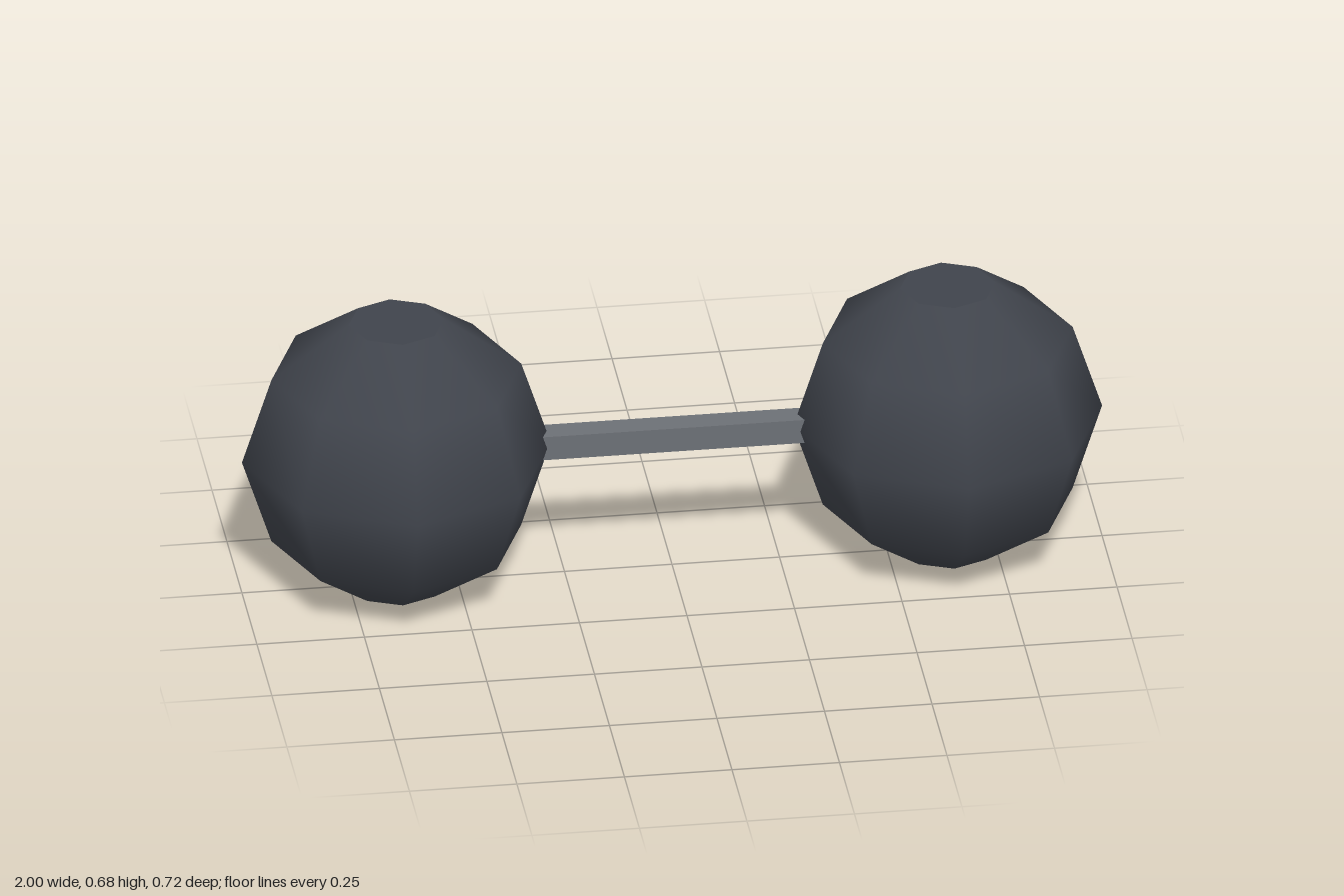
import * as THREE from 'three';

const RADIUS = 0.359;
const CAP_ANGLE = Math.PI / 10; // polar angle where each ball is cut flat
const HALF_HEIGHT = RADIUS * Math.cos(CAP_ANGLE);
const CAP_RADIUS = RADIUS * Math.sin(CAP_ANGLE);

export function createModel() {
  const ballMaterial = new THREE.MeshStandardMaterial({ color: 0x40444c });
  ballMaterial.name = 'dark iron';
  const barMaterial = new THREE.MeshStandardMaterial({ color: 0x6c7076 });
  barMaterial.name = 'grey steel';

  const model = new THREE.Group();
  model.name = 'dumbbell';

  // Smooth eight-sided ball with flat top and bottom
  function createBall(name, x) {
    const ball = new THREE.Group();
    ball.name = name;
    const shell = new THREE.Mesh(
      new THREE.SphereGeometry(RADIUS, 8, 4, 0, Math.PI * 2, CAP_ANGLE, Math.PI - 2 * CAP_ANGLE),
      ballMaterial
    );
    shell.name = 'ballShell';
    ball.add(shell);
    for (const side of [1, -1]) {
      const cap = new THREE.Mesh(new THREE.CircleGeometry(CAP_RADIUS, 8), ballMaterial);
      cap.name = side > 0 ? 'topCap' : 'bottomCap';
      cap.rotation.x = -side * Math.PI / 2;
      cap.position.y = side * HALF_HEIGHT;
      ball.add(cap);
    }
    ball.position.set(x, HALF_HEIGHT, 0);
    return ball;
  }
  model.add(createBall('leftBall', 1 - RADIUS), createBall('rightBall', RADIUS - 1));

  // Square handle, ends sunk into the balls
  const handle = new THREE.Mesh(new THREE.BoxGeometry(0.66, 0.06, 0.06), barMaterial);
  handle.name = 'handle';
  handle.position.y = HALF_HEIGHT;
  model.add(handle);

  return model;
}
